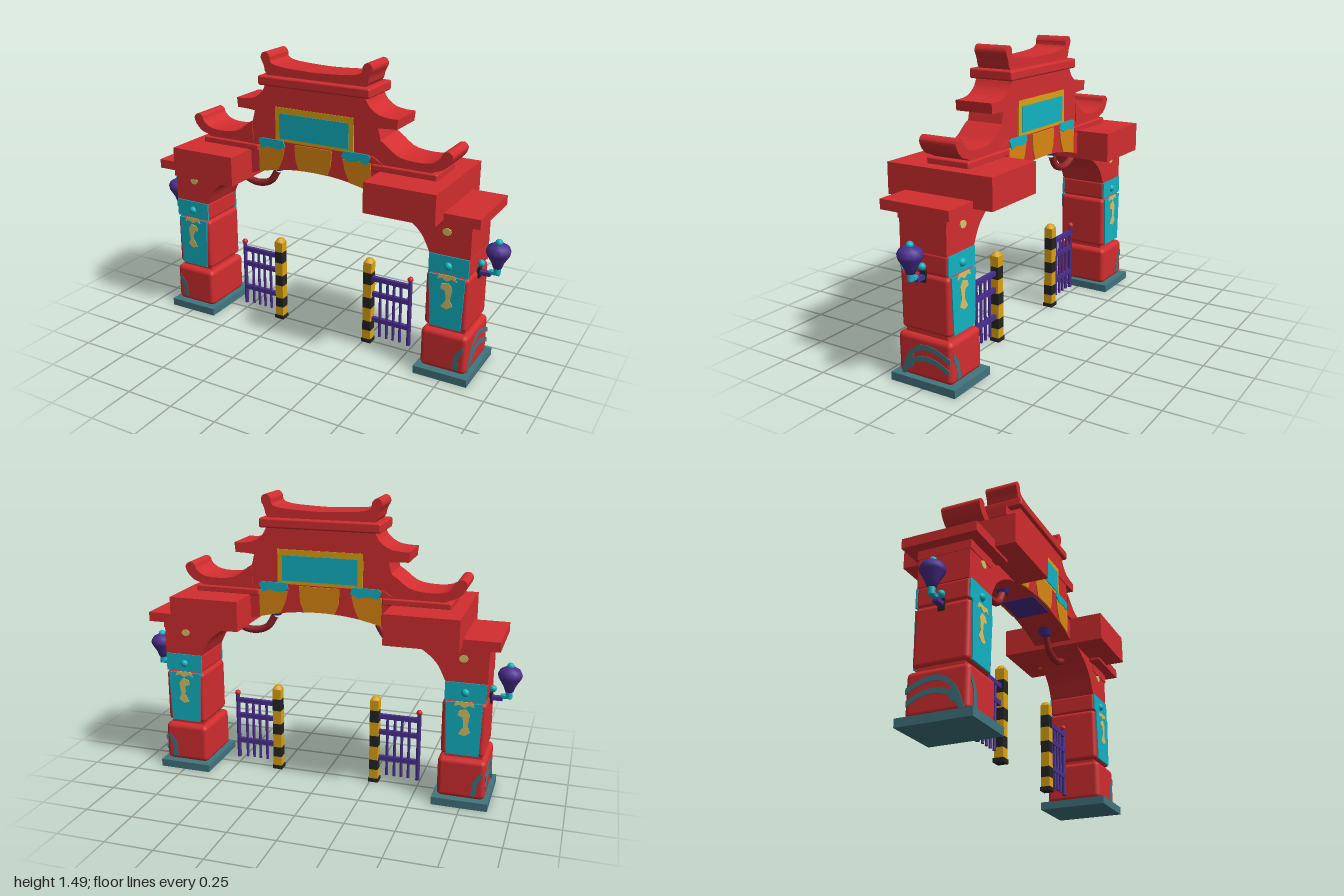
import * as THREE from 'three';
import { RoundedBoxGeometry } from 'three/addons/geometries/RoundedBoxGeometry.js';

const mat = (name, color, side = THREE.FrontSide) => {
  const m = new THREE.MeshStandardMaterial({ color, side });
  m.name = name;
  return m;
};

export function createModel() {
  const red = mat('red paint', 0xd22d2f);
  const darkRed = mat('dark red', 0x96252a);
  const cyan = mat('cyan', 0x12b3c3);
  const teal = mat('teal stone', 0x41757e);
  const purple = mat('purple', 0x4b2f8e);
  const gold = mat('gold', 0xdca312);
  const orange = mat('orange', 0xdb8612);
  const cream = mat('pale gold', 0xd9c369);
  const black = mat('black', 0x242424);
  const model = new THREE.Group();
  model.name = 'gateway';

  const add = (parent, name, geo, material, x = 0, y = 0, z = 0) => {
    const m = new THREE.Mesh(geo, material);
    m.name = name;
    m.position.set(x, y, z);
    parent.add(m);
    return m;
  };
  // Box given by its limits; r rounds the edges
  const box = (parent, name, material, x0, x1, y0, y1, z0, z1, r = 0) => {
    const d = [Math.abs(x1 - x0), y1 - y0, z1 - z0];
    const geo = r ? new RoundedBoxGeometry(...d, 2, r) : new THREE.BoxGeometry(...d);
    return add(parent, name, geo, material, (x0 + x1) / 2, (y0 + y1) / 2, (z0 + z1) / 2);
  };
  // Front outline pushed from z0 to z1, with x scaled by s
  const slab = (parent, name, material, pts, z0, z1, s = 1) => {
    const shape = new THREE.Shape(pts.map(([x, y]) => new THREE.Vector2(x * s, y)));
    const geo = new THREE.ExtrudeGeometry(shape, { depth: z1 - z0, bevelEnabled: false });
    return add(parent, name, geo, material, 0, 0, z0);
  };
  // The same thin plate on the front and the back
  const plates = (parent, name, material, pts, z, s = 1, t = 0.006) => {
    slab(parent, name + 'Front', material, pts, z, z + t, s);
    slab(parent, name + 'Back', material, pts, -z - t, -z, s);
  };
  const rect = (x0, x1, y0, y1) => [[x0, y0], [x1, y0], [x1, y1], [x0, y1]];
  const oval = (x, y, rx, ry, n = 12) => Array.from({ length: n }, (_, i) => {
    const a = (i / n) * Math.PI * 2;
    return [x + rx * Math.cos(a), y + ry * Math.sin(a)];
  });
  const smooth = (pts, n = 24) => new THREE.SplineCurve(pts.map(p => new THREE.Vector2(...p)))
    .getPoints(n).map(p => [p.x, p.y]);
  const mirrored = pts => [...pts, ...pts.slice().reverse().map(([x, y]) => [-x, y])];
  const rod = (parent, name, material, r, h, x, y, z = 0) =>
    add(parent, name, new THREE.CylinderGeometry(r, r, h, 10), material, x, y, z);
  const ball = (parent, name, material, r, x, y, z = 0) =>
    add(parent, name, new THREE.SphereGeometry(r, 16, 12), material, x, y, z);

  // Arched beam, with its painted underside
  const under = x => 0.92 - 0.42 * x * x;
  const arc = (x0, x1, off = 0, n = 10) => Array.from({ length: n + 1 }, (_, i) => {
    const x = x0 + ((x1 - x0) * i) / n;
    return [x, under(x) + off];
  });
  slab(model, 'archBeam', red, [...arc(-0.42, 0.42, 0, 24), [0.42, 1], [0.32, 1.055], [-0.32, 1.055], [-0.42, 1]], -0.105, 0.105);
  slab(model, 'undersidePanel', purple, [...arc(-0.1, 0.1, -0.005), ...arc(0.1, -0.1, 0.001)], -0.09, 0.09);

  // Painted scallops on the beam
  plates(model, 'middleScallop', orange, [...arc(-0.08, 0.08, 0.001), [0.1, 0.97], [0.105, 1.05], [-0.105, 1.05], [-0.1, 0.97]], 0.105);
  for (const s of [1, -1]) {
    plates(model, 'sideScallop', orange, [[0.205, 0.905], ...arc(0.22, 0.315, 0.001), [0.318, 1.02], [0.165, 1.02], [0.18, 0.96]], 0.105, s);
    plates(model, 'cyanCloud', cyan, [[0.16, 1.03], [0.2, 1.012], [0.26, 1.022], [0.3, 1.01], [0.318, 1.05], [0.3, 1.062], [0.17, 1.062]], 0.107, s, 0.007);
  }

  // Stepped roof body, eaves and ridge
  slab(model, 'roofBody', red, mirrored([[0.4, 1], [0.39, 1.1], [0.36, 1.14], [0.34, 1.22]]), -0.095, 0.095);
  slab(model, 'middleEaves', red, mirrored([[0.34, 1.195], [0.4, 1.2], [0.445, 1.2], [0.45, 1.25],
    ...smooth([[0.41, 1.25], [0.35, 1.26], [0.3, 1.295], [0.275, 1.34]], 10)]), -0.1, 0.1);
  box(model, 'upperEave', red, -0.31, 0.31, 1.333, 1.382, -0.12, 0.12, 0.01);
  slab(model, 'topRidge', red, mirrored([[0.27, 1.375],
    ...smooth([[0.285, 1.4], [0.292, 1.43], [0.308, 1.465], [0.298, 1.49], [0.275, 1.494], [0.257, 1.475], [0.25, 1.445], [0.2, 1.43], [0.1, 1.423], [0.02, 1.42]], 28)]), -0.088, 0.088);
  for (const s of [1, -1]) {
    box(model, 'ledge', red, s * 0.32, s * 0.66, 0.985, 1.02, -0.115, 0.115, 0.008);
    slab(model, 'lowerRoof', red, [[0.36, 1.015], [0.62, 1.015],
      ...smooth([[0.645, 1.03], [0.685, 1.045], [0.715, 1.075], [0.728, 1.11], [0.708, 1.132], [0.68, 1.125], [0.668, 1.098], [0.63, 1.07], [0.56, 1.06], [0.46, 1.072], [0.39, 1.12], [0.36, 1.14]], 36)], -0.1, 0.1, s);
  }

  // Name board left blank, on both faces
  plates(model, 'signFrame', gold, rect(-0.22, 0.22, 1.055, 1.23), 0.094, 1, 0.009);
  plates(model, 'signPanel', cyan, rect(-0.195, 0.195, 1.072, 1.2), 0.103, 1, 0.004);

  for (const s of [1, -1]) {
    const side = s > 0 ? 'left' : 'right';
    const group = name => {
      const g = new THREE.Group();
      g.name = side + name;
      model.add(g);
      return g;
    };

    // Pillar
    const p = group('Pillar');
    box(p, 'plinth', teal, s * 0.605, s * 0.885, 0, 0.04, -0.18, 0.18);
    box(p, 'baseBlock', red, s * 0.625, s * 0.865, 0.038, 0.245, -0.15, 0.15, 0.025);
    box(p, 'core', red, s * 0.655, s * 0.84, 0.2, 0.68, -0.115, 0.115);
    box(p, 'shaft', red, s * 0.635, s * 0.852, 0.262, 0.542, -0.135, 0.135, 0.02);
    box(p, 'collar', red, s * 0.645, s * 0.848, 0.545, 0.642, -0.128, 0.128, 0.012);
    plates(p, 'collarPanel', cyan, rect(0.646, 0.847, 0.547, 0.64), 0.126, s, 0.008);
    plates(p, 'bannerPanel', cyan, [[0.665, 0.268], [0.825, 0.268], [0.835, 0.54], [0.652, 0.54]], 0.133, s, 0.008);
    for (const z of [0.13, -0.13]) ball(p, 'stud', cyan, 0.021, s * 0.745, 0.59, z);
    // Banner ornaments and rosette
    plates(p, 'ornamentCap', cream, [[0.695, 0.52], [0.72, 0.53], [0.745, 0.515], [0.77, 0.53], [0.795, 0.52], [0.785, 0.547], [0.705, 0.547]], 0.141, s, 0.003);
    plates(p, 'ornamentStem', cream, [[0.72, 0.38], [0.75, 0.37], [0.78, 0.39], [0.765, 0.42], [0.775, 0.48], [0.755, 0.51], [0.72, 0.5], [0.715, 0.475], [0.74, 0.465], [0.745, 0.42]], 0.141, s, 0.003);
    plates(p, 'rosette', cream, oval(0.73, 0.76, 0.022, 0.018), 0.128, s);
    // Painted waves on the base block
    for (const [y0, y1, z1] of [[0.05, 0.205, -0.145], [0.045, 0.15, -0.14]]) {
      const top = smooth([[0.13, y0], [0.09, y0 + (y1 - y0) * 0.65], [0.02, y1], [-0.06, y1], [z1, y1 - 0.035]], 14);
      const low = top.map(([z, y], i) => [z - (i < 5 ? 0.022 : 0), y - (i < 3 ? 0 : 0.026)]).reverse();
      const wave = slab(p, 'baseWave', teal, [...top, ...low], 0, 0.005);
      wave.rotation.y = -Math.PI / 2;
      wave.position.x = s > 0 ? 0.868 : -0.863;
    }
    plates(p, 'baseStripe', teal, [[0.795, 0.06], [0.825, 0.06], [0.825, 0.12], [0.85, 0.17], [0.845, 0.195], [0.805, 0.14]], 0.148, s, 0.004);

    // Flared bracket, cap and beam block
    slab(p, 'bracket', red, [[0.85, 0.64], [0.85, 0.835], [0.37, 0.865], [0.37, 0.845],
      ...smooth([[0.45, 0.825], [0.53, 0.785], [0.6, 0.725], [0.645, 0.64]], 14)], -0.128, 0.128, s);
    box(p, 'bracketTrim', red, s * 0.655, s * 0.853, 0.78, 0.828, -0.133, 0.133);
    box(p, 'cap', red, s * 0.6, s * 0.907, 0.824, 0.872, -0.186, 0.186);
    box(p, 'beamBlock', red, s * 0.368, s * 0.73, 0.838, 0.99, -0.286, 0.286);

    // Hanging loop under the arch
    const loop = new THREE.CatmullRomCurve3([[0.53, 0.84], [0.48, 0.795], [0.4, 0.772], [0.32, 0.795], [0.275, 0.86]]
      .map(([x, y]) => new THREE.Vector3(s * x, y, 0)));
    add(p, 'hangingLoop', new THREE.TubeGeometry(loop, 24, 0.019, 10), darkRed);
    add(p, 'loopSocket', new THREE.CylinderGeometry(0.045, 0.026, 0.035, 14), purple, s * 0.268, 0.882);

    // Lantern on its arm
    const l = group('Lantern');
    const profile = [[0, 0.572], [0.02, 0.572], [0.03, 0.6], [0.056, 0.643], [0.06, 0.66], [0.05, 0.683], [0.024, 0.698], [0, 0.7]]
      .map(q => new THREE.Vector2(...q));
    add(l, 'lanternBody', new THREE.LatheGeometry(profile, 12), purple, s * 0.94);
    ball(l, 'lanternTop', cyan, 0.018, s * 0.94, 0.702);
    rod(l, 'lanternFoot', cyan, 0.017, 0.036, s * 0.94, 0.558);
    box(l, 'elbow', cyan, s * 0.9, s * 0.955, 0.535, 0.556, -0.012, 0.012, 0.005);
    box(l, 'arm', purple, s * 0.84, s * 0.91, 0.523, 0.543, -0.014, 0.014);
    box(l, 'armPlate', black, s * 0.848, s * 0.86, 0.505, 0.56, -0.016, 0.016);
    ball(l, 'armStud', cyan, 0.018, s * 0.862, 0.58);

    // Striped gate post
    const g = group('Gate');
    [0, 0.02, 0.07, 0.125, 0.2, 0.26, 0.335, 0.4, 0.455].forEach((y, i, a) => {
      if (i === a.length - 1) return;
      const w = i === 0 ? 0.027 : 0.023;
      box(g, 'postBand', i % 2 ? gold : black, s * (0.268 - w), s * (0.268 + w), y, a[i + 1], -w, w);
    });
    const cap = new THREE.CylinderGeometry(0.016, 0.0325, 0.02, 4);
    cap.rotateY(Math.PI / 4);
    add(g, 'postTop', cap, gold, s * 0.268, 0.465);

    // Barred gate leaf
    for (const x of [0.335, 0.375, 0.412, 0.45]) rod(g, 'bar', purple, 0.0075, 0.33, s * x, 0.205);
    for (const y of [0.135, 0.28, 0.367]) box(g, 'rail', purple, s * 0.285, s * 0.5, y - 0.012, y + 0.012, -0.01, 0.01);
    rod(g, 'endPost', purple, 0.011, 0.36, s * 0.5, 0.215);
    ball(g, 'endKnob', red, 0.015, s * 0.5, 0.408);
  }
  return model;
}
